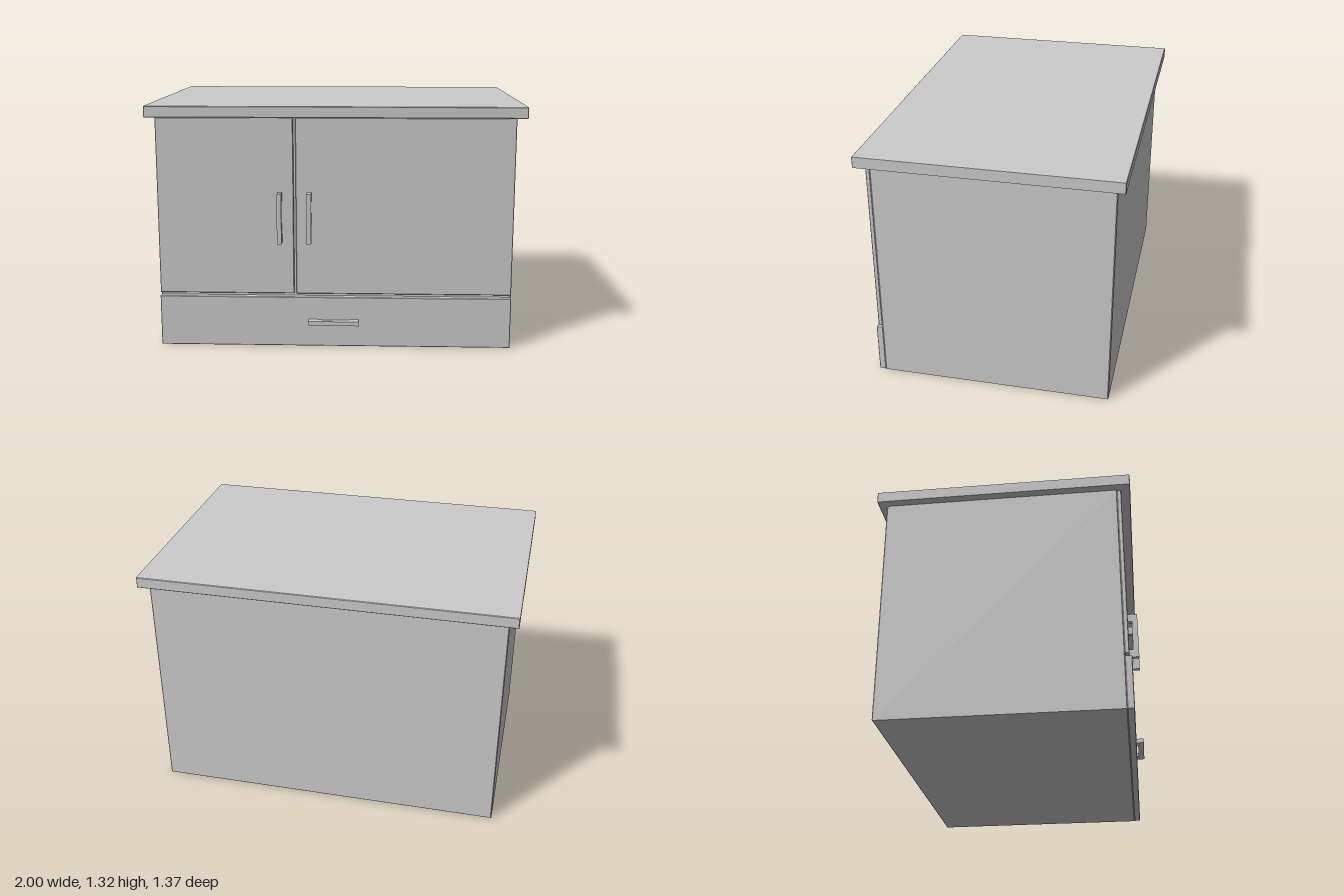
import * as THREE from 'three';

const material = new THREE.MeshStandardMaterial({ color: 0xcccccc });

// Panel between two corners, with a fine chamfer on every edge
function panel(name, [x0, y0, z0], [x1, y1, z1], b = 0.003) {
  const shape = new THREE.Shape([
    new THREE.Vector2(x0 + b, y0 + b),
    new THREE.Vector2(x1 - b, y0 + b),
    new THREE.Vector2(x1 - b, y1 - b),
    new THREE.Vector2(x0 + b, y1 - b),
  ]);
  const geometry = new THREE.ExtrudeGeometry(shape, {
    depth: z1 - z0 - 2 * b,
    bevelEnabled: true, bevelSize: b, bevelThickness: b, bevelSegments: 1,
  });
  geometry.translate(0, 0, z0 + b);
  const mesh = new THREE.Mesh(geometry, material);
  mesh.name = name;
  return mesh;
}

// U-shaped pull: two feet joined by a bar, standing upright and facing +z
function handle(name, x, y, z) {
  const half = 0.136, foot = 0.047, depth = 0.056, inner = 0.024, width = 0.024;
  const profile = new THREE.Shape([
    [0, -half], [depth, -half], [depth, half], [0, half],
    [0, half - foot], [inner, half - foot], [inner, foot - half], [0, foot - half],
  ].map(([u, v]) => new THREE.Vector2(u, v)));
  const geometry = new THREE.ExtrudeGeometry(profile, { depth: width, bevelEnabled: false });
  geometry.translate(0, 0, -width / 2);
  geometry.rotateY(-Math.PI / 2);
  const mesh = new THREE.Mesh(geometry, material);
  mesh.name = name;
  mesh.position.set(x, y, z);
  return mesh;
}

export function createModel() {
  const group = new THREE.Group();
  group.name = 'cabinet';

  // Carcass and overhanging top
  group.add(panel('carcass', [-0.953, 0, -0.64], [0.95, 1.256, 0.608], 0.005));
  group.add(panel('countertop', [-1, 1.256, -0.683], [1, 1.315, 0.677]));

  // Unequal doors above a full-width drawer
  group.add(panel('rightDoor', [-0.953, 0.295, 0.606], [-0.222, 1.252, 0.629]));
  group.add(panel('leftDoor', [-0.21, 0.295, 0.606], [0.95, 1.252, 0.629]));
  group.add(panel('drawerFront', [-0.953, 0.002, 0.606], [0.95, 0.279, 0.642]));

  // Pulls
  group.add(handle('rightDoorHandle', -0.296, 0.718, 0.627));
  group.add(handle('leftDoorHandle', -0.138, 0.718, 0.627));
  const drawerHandle = handle('drawerHandle', -0.008, 0.142, 0.627);
  drawerHandle.rotation.z = Math.PI / 2;
  group.add(drawerHandle);

  return group;
}
